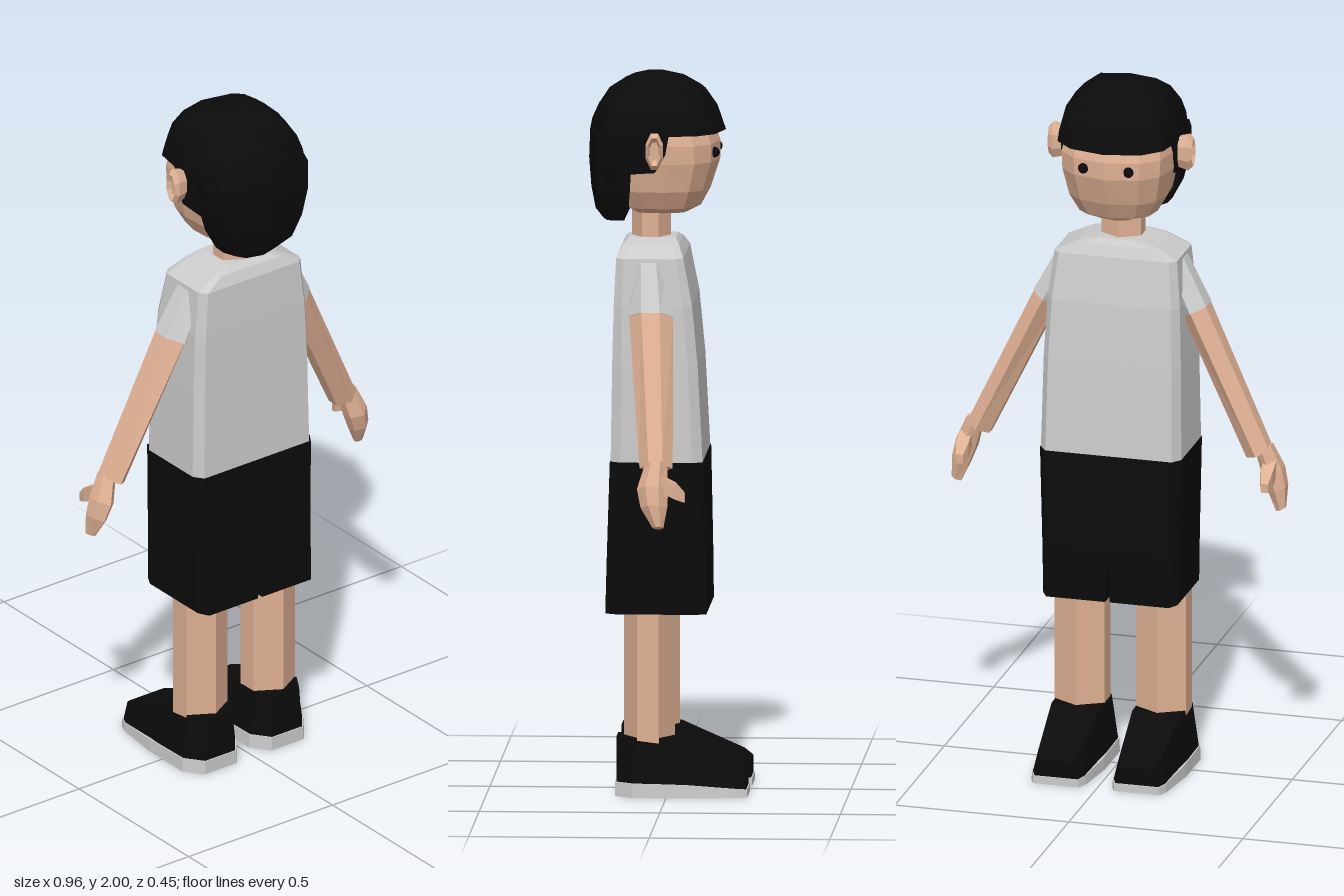
import * as THREE from 'three';

const mat = (color, side = THREE.FrontSide) => new THREE.MeshStandardMaterial({ color, flatShading: true, side });
const skin = mat(0xdfb093), black = mat(0x0b0b0b), grey = mat(0xcccccc);

// Closed flat-shaded skin over a list of rings with equal point counts
function loft(rings) {
  const pos = [], n = rings[0].length;
  const tri = (a, b, c) => pos.push(...a, ...b, ...c);
  for (let i = 0; i < rings.length - 1; i++)
    for (let j = 0; j < n; j++) {
      const k = (j + 1) % n, a = rings[i], b = rings[i + 1];
      tri(a[j], a[k], b[k]);
      tri(a[j], b[k], b[j]);
    }
  const cap = (ring, flip) => {
    const c = [0, 1, 2].map(d => ring.reduce((s, p) => s + p[d], 0) / n);
    ring.forEach((p, j) => {
      const q = ring[(j + 1) % n];
      flip ? tri(c, q, p) : tri(c, p, q);
    });
  };
  cap(rings[0], true);
  cap(rings[rings.length - 1], false);
  // Turn the faces outward if the enclosed volume is negative
  let vol = 0;
  const v = i => new THREE.Vector3().fromArray(pos, i);
  for (let i = 0; i < pos.length; i += 9) vol += v(i).dot(v(i + 3).cross(v(i + 6)));
  if (vol < 0)
    for (let i = 0; i < pos.length; i += 9)
      for (let d = 0; d < 3; d++) [pos[i + d], pos[i + 3 + d]] = [pos[i + 3 + d], pos[i + d]];
  const g = new THREE.BufferGeometry();
  g.setAttribute('position', new THREE.Float32BufferAttribute(pos, 3));
  g.computeVertexNormals();
  return g;
}

// Mirror a half outline [x, t] (front to back) into a full one
const mirrored = half => [...half, ...half.filter(p => p[0] > 0).reverse().map(([x, t]) => [-x, t])];
// Horizontal ring: outline scaled to half width w and depth zf..zb
const level = (outline, y, w, zf, zb, cx = 0) =>
  outline.map(([x, t]) => [cx + x * w, y, (zf + zb) / 2 + t * (zb - zf) / 2]);
const levels = (outline, rows) => loft(rows.map(r => level(outline, ...r)));

const HEAD = mirrored([[0, -1], [0.6, -0.87], [0.9, -0.6], [1, -0.1], [0.97, 0.4], [0.88, 0.76], [0, 1]]);
const NAPE = mirrored([[0, -1], [0.98, -1], [1, -0.2], [0.88, 0.55], [0, 1]]);
const TORSO = mirrored([[0.9, -1], [1, -0.78], [1, 0.78], [0.9, 1]]);
const HEX = mirrored([[0, -1], [1, -0.42], [1, 0.42], [0, 1]]);
const SHORT = [[-1, -1], [0.82, -1], [1, -0.78], [1, 0.78], [0.82, 1], [-1, 1]];

export function createModel() {
  const model = new THREE.Group();
  const add = (parent, name, geometry, material) => {
    const m = new THREE.Mesh(geometry, material);
    m.name = name;
    parent.add(m);
    return m;
  };

  // Head and neck; the face looks toward -z
  add(model, 'head', levels(HEAD, [
    [1.612, 0.06, -0.05, 0.1], [1.63, 0.11, -0.085, 0.13], [1.68, 0.138, -0.112, 0.16],
    [1.76, 0.155, -0.138, 0.18], [1.81, 0.158, -0.139, 0.19], [1.9, 0.14, -0.11, 0.18]]), skin);
  add(model, 'neck', levels(HEX, [[1.5, 0.057, -0.002, 0.107], [1.64, 0.057, -0.002, 0.107]]), skin);

  // Bowl haircut: cap with fringe, long back, and sides behind the ears
  add(model, 'hairCap', levels(HEAD, [
    [1.84, 0.169, -0.154, 0.222], [1.87, 0.166, -0.144, 0.216], [1.91, 0.155, -0.13, 0.198],
    [1.955, 0.127, -0.098, 0.168], [1.985, 0.09, -0.045, 0.122], [2, 0.035, 0.01, 0.07]]), black);
  add(model, 'hairBack', levels(NAPE, [
    [1.59, 0.055, 0.125, 0.185], [1.618, 0.112, 0.112, 0.207], [1.68, 0.145, 0.105, 0.219],
    [1.76, 0.166, 0.1, 0.225], [1.84, 0.17, 0.09, 0.222]]), black);

  // Shirt body
  add(model, 'shirt', levels(TORSO, [
    [0.93, 0.202, -0.1, 0.155], [1.2, 0.197, -0.086, 0.151], [1.37, 0.19, -0.07, 0.147],
    [1.5, 0.176, -0.045, 0.141], [1.53, 0.115, -0.03, 0.127], [1.545, 0.062, -0.018, 0.11]]), grey);

  for (const s of [1, -1]) {
    const side = new THREE.Group();
    side.name = s > 0 ? 'leftSide' : 'rightSide';
    model.add(side);
    const part = (name, rings, material) =>
      add(side, name, loft(rings.map(r => r.map(([x, y, z]) => [s * x, y, z]))), material);

    // Hair beside the ear
    part('sideHair', [[0.12, -0.01], [0.166, 0]].map(([x, o]) =>
      [[1.85, -0.005], [1.79, 0.005], [1.74, 0.035], [1.735, 0.12], [1.85, 0.12]].map(([y, z]) => [x, y + o, z])), black);

    // Ear with a hollowed outer face
    part('ear', [[0.14, 0.7], [0.175, 0.9], [0.195, 1], [0.207, 0.75], [0.195, 0.5]].map(([x, k]) =>
      Array.from({ length: 8 }, (_, i) => {
        const a = (i + 0.5) * Math.PI / 4;
        return [x, 1.803 + 0.055 * k * Math.sin(a), 0.033 + 0.026 * k * Math.cos(a)];
      })), skin);

    // Eye
    const eye = add(side, 'eye', new THREE.SphereGeometry(0.015, 8, 6), black);
    eye.position.set(s * 0.065, 1.785, -0.126);

    // Arm rings lie square to the sloping arm
    const armRing = (cx, cy, hw, zf, zb) =>
      level(HEX, 0, hw, zf, zb).map(([a, , z]) => [cx + a * 0.92, cy + a * 0.39, z]);
    part('sleeve', [armRing(0.145, 1.475, 0.038, 0, 0.1), armRing(0.213, 1.345, 0.039, -0.022, 0.104)], grey);
    part('arm', [armRing(0.212, 1.347, 0.037, -0.02, 0.102), armRing(0.402, 0.948, 0.035, -0.03, 0.062)], skin);

    // Hand and thumb
    part('hand', [armRing(0.415, 0.965, 0.024, -0.015, 0.045), armRing(0.44, 0.895, 0.03, -0.02, 0.067),
      armRing(0.455, 0.845, 0.026, -0.018, 0.056), armRing(0.466, 0.79, 0.014, -0.008, 0.022)], skin);
    part('thumb', [[0.437, 0.915, 0.01, 0.022], [0.437, 0.89, -0.04, 0.022], [0.438, 0.872, -0.065, 0.013]].map(
      ([x, y, z, r]) => [[-1, -1], [1, -1], [1, 1], [-1, 1]].map(([a, b]) => [x + a * r * 0.8, y + b * r, z])), skin);

    // Half of the shorts, with a narrow slit between the legs
    part('shorts', [level(SHORT, 0.51, 0.093, -0.11, 0.17, 0.1), level(SHORT, 0.66, 0.098, -0.108, 0.166, 0.098),
      level(SHORT, 0.935, 0.102, -0.102, 0.157, 0.102)], black);

    // Leg
    part('leg', [level(HEX, 0.14, 0.072, -0.02, 0.122, 0.117), level(HEX, 0.56, 0.072, -0.02, 0.122, 0.117)], skin);

    // Shoe and sole, cross-sections from heel to toe: z, low half width, high half width, low y, high y
    const shoe = rows => rows.map(([z, w, u, y0, y1]) =>
      [[-w, y0], [w, y0], [u, y1], [-u, y1]].map(([x, y]) => [0.116 + x, y, z]));
    part('shoe', shoe([[0.14, 0.052, 0.042, 0.04, 0.165], [0.09, 0.09, 0.072, 0.04, 0.165],
      [-0.02, 0.09, 0.07, 0.038, 0.165], [-0.195, 0.074, 0.058, 0.024, 0.09], [-0.22, 0.062, 0.048, 0.022, 0.072]]), black);
    part('sole', shoe([[0.143, 0.056, 0.054, 0, 0.04], [0.092, 0.095, 0.093, 0, 0.04],
      [-0.06, 0.095, 0.093, 0, 0.036], [-0.195, 0.078, 0.076, 0, 0.025], [-0.223, 0.066, 0.064, 0, 0.022]]), grey);
  }
  return model;
}
